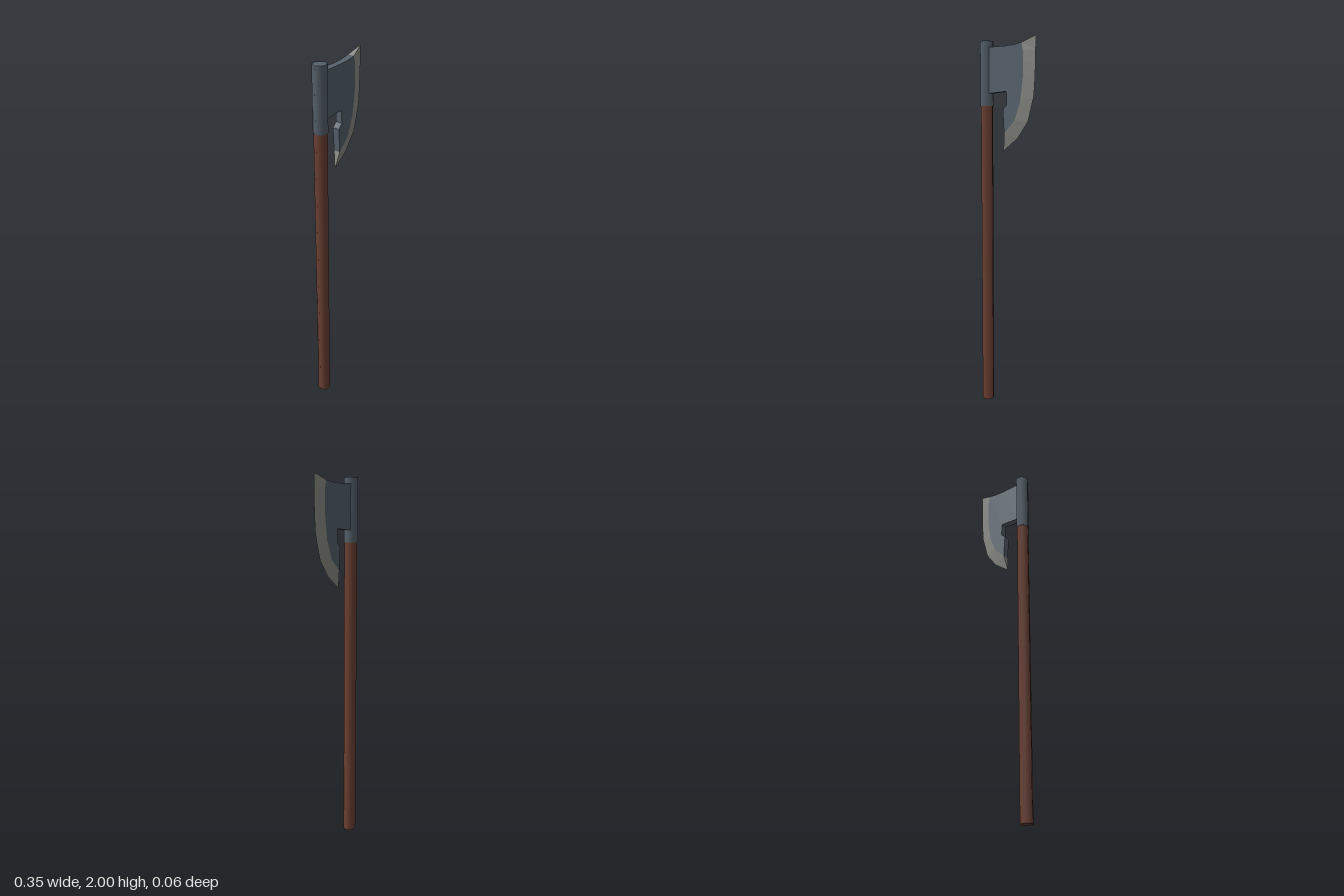
import * as THREE from 'three';

const SHAFT_X = -0.137;
const HALF = 0.018; // half thickness of the blade

// Where the flat of the blade meets the bevel, and the cutting edge, top to bottom
const INNER = [[0.096, 1.967], [0.106, 1.926], [0.108, 1.87], [0.106, 1.79], [0.09, 1.67], [0.053, 1.572], [-0.012, 1.507]];
const EDGE = [[0.172, 2.0], [0.172, 1.93], [0.171, 1.865], [0.169, 1.8], [0.163, 1.7], [0.127, 1.57], [0.063, 1.483], [-0.028, 1.414]];

function hexRod(name, radius, y0, y1, material) {
  const geometry = new THREE.CylinderGeometry(radius, radius, y1 - y0, 6, 1, false, Math.PI / 2);
  const mesh = new THREE.Mesh(geometry, material);
  mesh.name = name;
  mesh.position.set(SHAFT_X, (y0 + y1) / 2, 0);
  return mesh;
}

// Flat plate of the blade, with the hooked beard under it
function bladePlate(material) {
  const outline = [
    [-0.13, 1.952], [-0.13, 1.713], [0.002, 1.724], [0.004, 1.655], [-0.02, 1.632],
    ...[...INNER].reverse(), [0.05, 1.958], [0, 1.954],
  ];
  const shape = new THREE.Shape(outline.map(([x, y]) => new THREE.Vector2(x, y)));
  const geometry = new THREE.ExtrudeGeometry(shape, { depth: 2 * HALF, bevelEnabled: false });
  geometry.translate(0, 0, -HALF);
  const mesh = new THREE.Mesh(geometry, material);
  mesh.name = 'bladePlate';
  return mesh;
}

// Wedge that tapers from the plate to the cutting edge
function cuttingEdge(material) {
  const positions = [];
  const tri = (a, b, c) => positions.push(...a, ...b, ...c);
  const inner = (i, side) => [...INNER[i], side * HALF];
  const edge = (i) => [...EDGE[i], 0];
  const last = INNER.length - 1;
  const tip = EDGE.length - 1;

  for (const side of [1, -1]) {
    const face = (a, b, c) => (side > 0 ? tri(a, b, c) : tri(a, c, b));
    for (let i = 0; i < last; i++) {
      face(inner(i, side), inner(i + 1, side), edge(i + 1));
      face(inner(i, side), edge(i + 1), edge(i));
    }
    face(inner(last, side), edge(tip), edge(tip - 1));
  }
  // End caps at the top corner and at the beard
  tri(inner(0, 1), edge(0), inner(0, -1));
  tri(inner(last, 1), inner(last, -1), edge(tip));

  const geometry = new THREE.BufferGeometry();
  geometry.setAttribute('position', new THREE.Float32BufferAttribute(positions, 3));
  geometry.computeVertexNormals();
  const mesh = new THREE.Mesh(geometry, material);
  mesh.name = 'cuttingEdge';
  return mesh;
}

export function createModel() {
  const wood = new THREE.MeshStandardMaterial({ color: 0x6b4033 });
  wood.name = 'brown wood';
  const steel = new THREE.MeshStandardMaterial({ color: 0x55616b });
  steel.name = 'dark steel';
  const ground = new THREE.MeshStandardMaterial({ color: 0x8c8c87 });
  ground.name = 'sharpened steel';

  const axe = new THREE.Group();
  axe.name = 'axe';
  const head = new THREE.Group();
  head.name = 'axeHead';
  head.add(hexRod('socket', 0.0375, 1.65, 1.985, steel), bladePlate(steel), cuttingEdge(ground));
  axe.add(hexRod('handle', 0.0345, 0, 1.66, wood), head);
  return axe;
}
